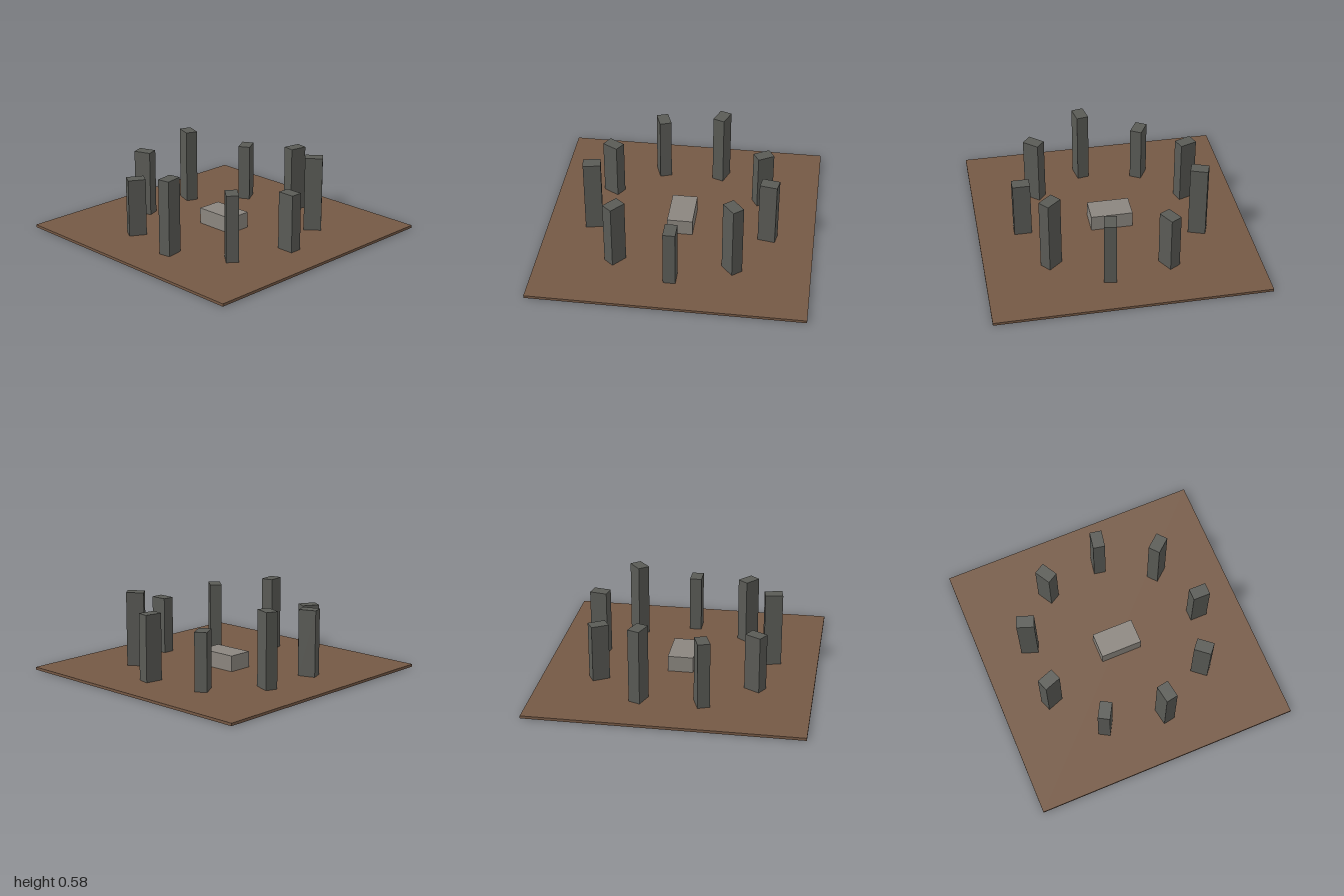
import * as THREE from 'three';

const material = (name, color) => {
  const m = new THREE.MeshStandardMaterial({ color });
  m.name = name;
  return m;
};

// Box standing on height y
function block(name, w, h, d, y, mat) {
  const geometry = new THREE.BoxGeometry(w, h, d).translate(0, h / 2, 0);
  const mesh = new THREE.Mesh(geometry, mat);
  mesh.name = name;
  mesh.position.y = y;
  return mesh;
}

export function createModel() {
  const earth = material('brown earth', 0x755945);
  const darkStone = material('dark stone', 0x5a5b56);
  const paleStone = material('pale stone', 0x8b867f);

  const group = new THREE.Group();
  group.name = 'stoneCircle';
  const groundTop = 0.02;

  // Square ground slab and central altar
  group.add(block('ground', 2, groundTop, 2, 0, earth));
  group.add(block('altar', 0.315, 0.12, 0.19, groundTop, paleStone));

  // Ring of nine standing stones, long side pointing outwards, in three repeating heights
  const ring = new THREE.Group();
  ring.name = 'standingStones';
  const count = 9, radius = 0.665, heights = [0.43, 0.495, 0.56];
  for (let i = 0; i < count; i++) {
    const angle = (i / count) * Math.PI * 2;
    const stone = block('standingStone' + (i + 1), 0.13, heights[i % 3], 0.09, groundTop, darkStone);
    stone.position.x = Math.cos(angle) * radius;
    stone.position.z = Math.sin(angle) * radius;
    stone.rotation.y = -angle;
    ring.add(stone);
  }
  group.add(ring);
  return group;
}
